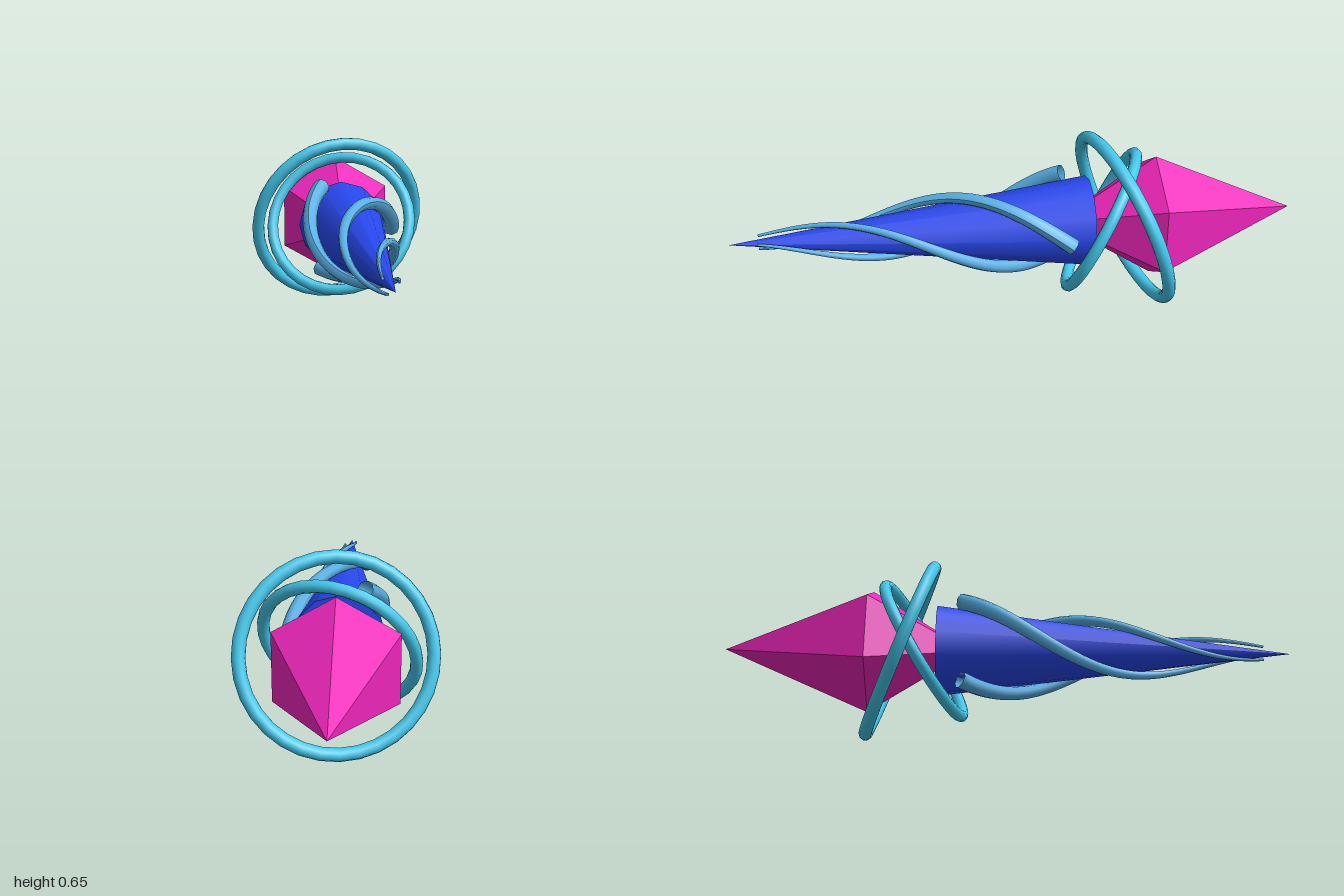
import * as THREE from 'three';

const AXIS_Y = 0.325;

function makeMesh(name, geometry, color, options = {}) {
  const mesh = new THREE.Mesh(geometry, new THREE.MeshStandardMaterial({ color, ...options }));
  mesh.name = name;
  return mesh;
}

// Helical tube that hugs the horn and thins out towards its tip
function tendrilGeometry(phase) {
  const steps = 48, sides = 8;
  const turn = THREE.MathUtils.degToRad(258);
  const points = [];
  for (let i = 0; i <= steps; i++) {
    const t = i / steps;
    const a = phase + t * turn;
    const r = THREE.MathUtils.lerp(0.175, 0.027, t);
    points.push(new THREE.Vector3(r * Math.cos(a), r * Math.sin(a), THREE.MathUtils.lerp(-0.17, 0.9, t)));
  }
  const curve = new THREE.CatmullRomCurve3(points);
  const geometry = new THREE.TubeGeometry(curve, steps, 0.03, sides);
  const pos = geometry.attributes.position;
  const v = new THREE.Vector3();
  for (let i = 0; i <= steps; i++) {
    const t = i / steps;
    const centre = curve.getPointAt(t);
    for (let j = 0; j <= sides; j++) {
      const k = i * (sides + 1) + j;
      v.fromBufferAttribute(pos, k).sub(centre).multiplyScalar(1 - 0.85 * t).add(centre);
      pos.setXYZ(k, v.x, v.y, v.z);
    }
  }
  geometry.computeVertexNormals();
  return geometry;
}

// Tilted ring whose hole looks along the given normal
function makeRing(name, radius, tube, z, normal) {
  const ring = makeMesh(name, new THREE.TorusGeometry(radius, tube, 10, 32), 0x44c8ec);
  ring.quaternion.setFromUnitVectors(new THREE.Vector3(0, 0, 1), normal.normalize());
  ring.position.z = z;
  return ring;
}

export function createModel() {
  const model = new THREE.Group();
  model.name = 'crystalDrill';
  const body = new THREE.Group();
  body.name = 'body';
  body.position.y = AXIS_Y;
  model.add(body);

  // Long horn pointing forward
  const horn = new THREE.ConeGeometry(0.16, 1.255, 12).rotateX(Math.PI / 2).translate(0, 0, 0.3725);
  body.add(makeMesh('horn', horn, 0x2848ee));

  // Six-sided crystal at the back
  const profile = [[0, 0.14], [0.2336, 0.49], [0, 1]].map(([x, y]) => new THREE.Vector2(x, y));
  const crystal = new THREE.LatheGeometry(profile, 6).rotateX(-Math.PI / 2);
  body.add(makeMesh('crystal', crystal, 0xee26bb, { flatShading: true }));

  // Three tendrils winding round the horn
  for (let i = 0; i < 3; i++) {
    const phase = (i * Math.PI * 2) / 3 - 0.03;
    body.add(makeMesh('tendril' + (i + 1), tendrilGeometry(phase), 0x58b0e4, { side: THREE.DoubleSide }));
  }

  // Two crossed rings
  body.add(makeRing('outerRing', 0.318, 0.023, -0.385, new THREE.Vector3(0.21, -0.35, 1)));
  body.add(makeRing('innerRing', 0.265, 0.021, -0.3, new THREE.Vector3(-0.32, 0.5, 1)));

  return model;
}
